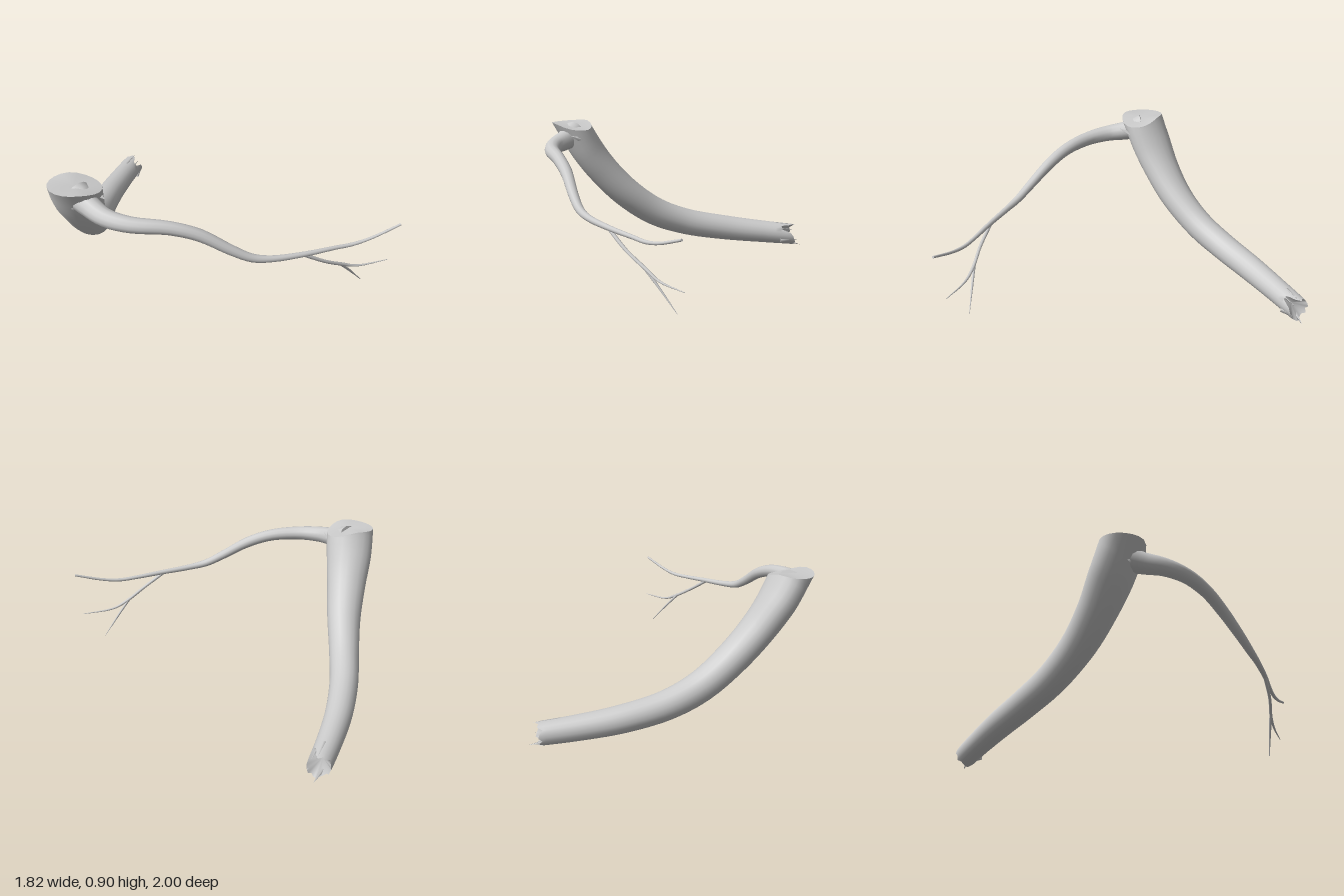
import * as THREE from 'three';

const bark = new THREE.MeshStandardMaterial({ color: 0xcccccc, side: THREE.DoubleSide });

// Sweep a tapering tube through [x, y, z, radius] stations.
// widen(t) stretches it sideways; adjust(p, ring, side, tangent) may move ring points.
function sweep(name, stations, { rings = 24, sides = 10, widen = () => 1, adjust = () => {}, recess = 0 } = {}) {
  const curve = new THREE.CatmullRomCurve3(stations.map(s => new THREE.Vector3(s[0], s[1], s[2])));
  const up = new THREE.Vector3(0, 1, 0);
  const pos = [], index = [], ringEnds = [];
  for (let i = 0; i <= rings; i++) {
    const t = i / rings, f = t * (stations.length - 1);
    const k = Math.min(Math.floor(f), stations.length - 2);
    const r = THREE.MathUtils.lerp(stations[k][3], stations[k + 1][3], f - k);
    const c = curve.getPoint(t), T = curve.getTangent(t);
    const S = new THREE.Vector3().crossVectors(up, T).normalize();
    const U = new THREE.Vector3().crossVectors(T, S);
    const ring = [];
    for (let j = 0; j < sides; j++) {
      const a = (j / sides) * Math.PI * 2;
      const p = c.clone().addScaledVector(S, Math.cos(a) * r * widen(t)).addScaledVector(U, Math.sin(a) * r);
      adjust(p, i, j, T);
      ring.push(p);
      pos.push(p.x, p.y, p.z);
      if (i < rings) {
        const n = (j + 1) % sides, a0 = i * sides + j, b0 = i * sides + n;
        index.push(a0, b0, a0 + sides, b0, b0 + sides, a0 + sides);
      }
    }
    if (i === 0 || i === rings) ringEnds.push({ ring, T });
  }
  // End caps with their own vertices, so the rims stay sharp
  ringEnds.forEach(({ ring, T }, e) => {
    const base = pos.length / 3, mid = new THREE.Vector3();
    ring.forEach(p => { mid.add(p); pos.push(p.x, p.y, p.z); });
    mid.divideScalar(sides);
    if (e === 0) mid.addScaledVector(T, recess);
    pos.push(mid.x, mid.y, mid.z);
    for (let j = 0; j < sides; j++) {
      const n = (j + 1) % sides;
      if (e) index.push(base + sides, base + j, base + n);
      else index.push(base + sides, base + n, base + j);
    }
  });
  const g = new THREE.BufferGeometry();
  g.setAttribute('position', new THREE.Float32BufferAttribute(pos, 3));
  g.setIndex(index);
  g.computeVertexNormals();
  const mesh = new THREE.Mesh(g, bark);
  mesh.name = name;
  return mesh;
}

// Thin pointed sliver of torn wood
function splinter(from, to, r) {
  const a = new THREE.Vector3(...from), d = new THREE.Vector3(...to).sub(a);
  const m = new THREE.Mesh(new THREE.ConeGeometry(r, d.length(), 4), bark);
  m.position.copy(a).addScaledVector(d, 0.5);
  m.quaternion.setFromUnitVectors(new THREE.Vector3(0, 1, 0), d.normalize());
  m.name = 'splinter';
  return m;
}

export function createModel() {
  const model = new THREE.Group();
  model.name = 'brokenBranch';

  // Thick limb: jagged hollow break at the low end, slanted cut at the top
  const jag = [0, .02, .09, .1, .02, -.01, .01, 0, .03, .01, 0, .02, 0, .02, .01, -.01, -.02, 0, -.02, -.01];
  const limbRings = 40;
  const cutHeight = x => 0.905 - 0.35 * Math.max(0, x + 0.75) - 0.1 * Math.max(0, -0.8 - x);
  model.add(sweep('limb', [
    [0.065, 0.078, -0.955, 0.07], [-0.08, 0.1, -0.8, 0.075], [-0.25, 0.135, -0.6, 0.083],
    [-0.4, 0.19, -0.38, 0.088], [-0.5, 0.275, -0.19, 0.093], [-0.59, 0.42, -0.01, 0.097],
    [-0.67, 0.58, 0.12, 0.1], [-0.73, 0.73, 0.21, 0.105], [-0.77, 0.875, 0.28, 0.105],
  ], {
    rings: limbRings, sides: 20, recess: 0.07,
    widen: t => 1 + 0.42 * THREE.MathUtils.smoothstep(t, 0.45, 1),
    adjust: (p, i, j, T) => {
      if (i === 0) p.addScaledVector(T, jag[j]);
      if (i === 1) p.addScaledVector(T, Math.max(0, jag[j] - 0.02));
      const over = p.y - cutHeight(p.x);
      if (i === limbRings || (i > 30 && over > 0)) p.addScaledVector(T, -over / T.y);
    },
  }));

  // Slender side branch sweeping out from the top of the limb
  model.add(sweep('sideBranch', [
    [-0.76, 0.83, 0.28, 0.08], [-0.725, 0.8, 0.39, 0.062], [-0.68, 0.785, 0.5, 0.052],
    [-0.58, 0.775, 0.6, 0.045], [-0.4, 0.757, 0.69, 0.038], [-0.25, 0.705, 0.755, 0.035],
    [-0.1, 0.61, 0.83, 0.029], [0.01, 0.55, 0.875, 0.024], [0.12, 0.527, 0.902, 0.019],
    [0.32, 0.512, 0.928, 0.015], [0.5, 0.503, 0.94, 0.012], [0.61, 0.5, 0.952, 0.011],
    [0.72, 0.517, 0.967, 0.009], [0.9, 0.572, 0.99, 0.007],
  ], { rings: 52, sides: 12 }));

  // Forked twig hanging from the side branch
  model.add(sweep('twig', [
    [0.3, 0.513, 0.926, 0.011], [0.45, 0.42, 0.936, 0.01], [0.58, 0.348, 0.925, 0.01],
    [0.68, 0.307, 0.93, 0.007], [0.88, 0.298, 0.95, 0.002],
  ], { rings: 16, sides: 7 }));
  model.add(sweep('twigFork', [
    [0.56, 0.36, 0.926, 0.009], [0.65, 0.265, 0.905, 0.007], [0.76, 0.14, 0.88, 0.0015],
  ], { rings: 6, sides: 7 }));

  // Torn slivers at the break and around the branch collar
  [
    [[-0.02, 0.158, -0.86], [0.09, 0.145, -0.97], 0.01],
    [[0.05, 0.05, -0.85], [0.125, 0.055, -0.93], 0.016],
    [[0.0, 0.13, -0.83], [0.1, 0.12, -0.93], 0.009],
    [[0.03, 0.03, -0.93], [0.11, 0.005, -0.985], 0.015],
    [[-0.64, 0.79, 0.28], [-0.65, 0.84, 0.41], 0.025],
    [[-0.8, 0.78, 0.32], [-0.78, 0.87, 0.4], 0.025],
  ].forEach(s => model.add(splinter(...s)));

  return model;
}
